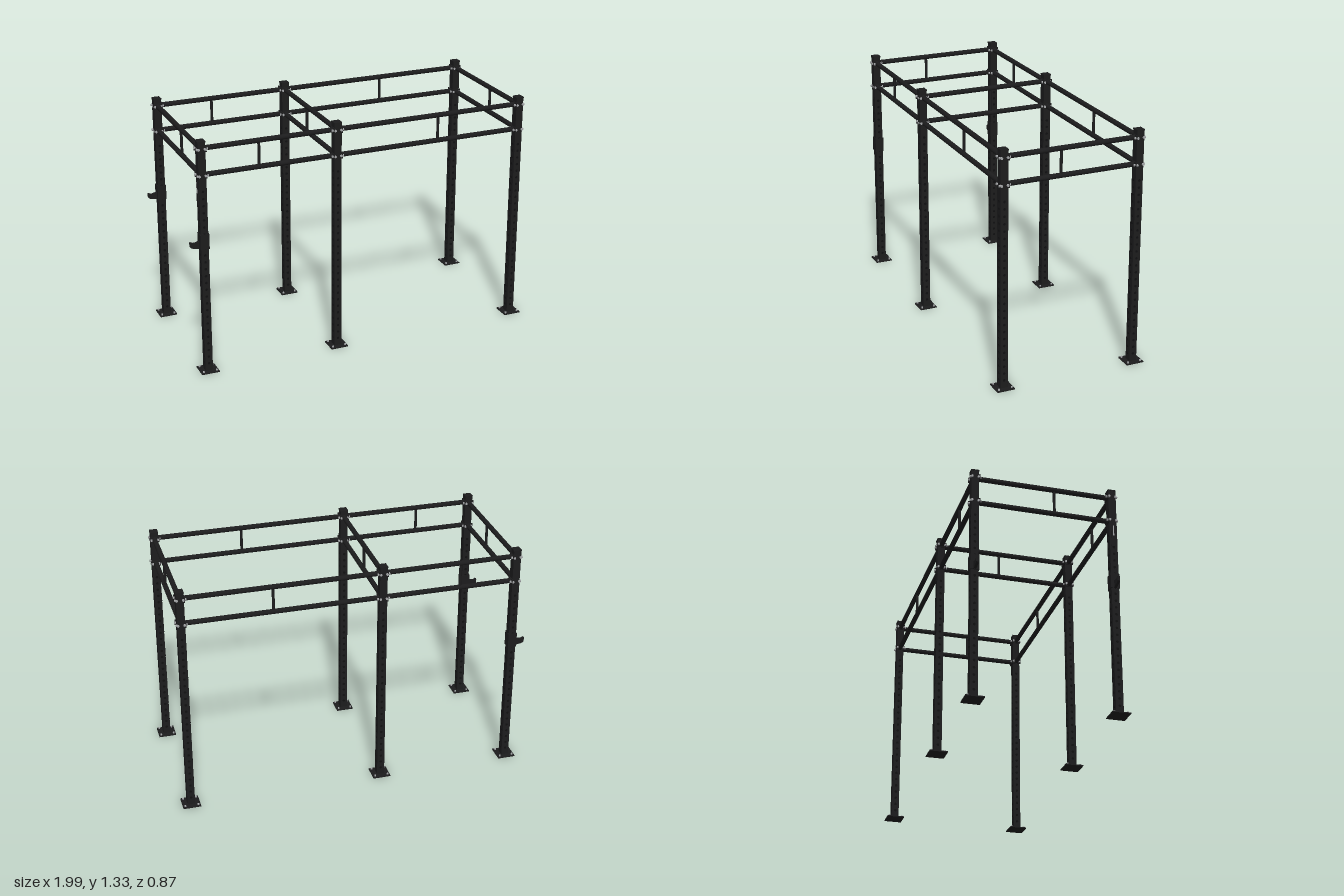
import * as THREE from 'three';
import { mergeGeometries } from 'three/addons/utils/BufferGeometryUtils.js';

const frameBlack = new THREE.MeshStandardMaterial({ color: 0x1c1c1d });
const holeBlack = new THREE.MeshStandardMaterial({ color: 0x101011 });
const boltSteel = new THREE.MeshStandardMaterial({ color: 0xa4a6a8 });

const POST_X = [-0.92, -0.158, 0.945];
const POST_Z = 0.383;
const HALF = 0.021;
const TOP = 1.326;
const BAR_Y = [1.137, 1.283];
const BAR_R = 0.0138;

export function createModel() {
  const model = new THREE.Group();
  const add = (parent, name, geo, mat, x = 0, y = 0, z = 0) => {
    const m = new THREE.Mesh(geo, mat);
    m.name = name;
    m.position.set(x, y, z);
    parent.add(m);
    return m;
  };
  // Cylinder lying along 'x', 'y' or 'z'
  const rod = (r, len, axis, x, y, z, sides = 8) => {
    const g = new THREE.CylinderGeometry(r, r, len, sides);
    if (axis === 'x') g.rotateZ(Math.PI / 2);
    if (axis === 'z') g.rotateX(Math.PI / 2);
    return g.translate(x, y, z);
  };
  const box = (w, h, d, x = 0, y = 0, z = 0) => new THREE.BoxGeometry(w, h, d).translate(x, y, z);

  // Uprights with base plates, anchor bolts, caps and rows of holes
  POST_X.forEach((px, i) => {
    for (const s of [1, -1]) {
      const post = new THREE.Group();
      post.name = 'upright';
      post.position.set(px, 0, s * POST_Z);
      model.add(post);
      add(post, 'post', box(2 * HALF, TOP - 0.006, 2 * HALF, 0, (TOP - 0.006) / 2), frameBlack);
      add(post, 'postCap', box(0.045, 0.007, 0.045, 0, TOP - 0.0025), frameBlack);
      add(post, 'basePlate', box(0.1, 0.006, 0.1, 0, 0.003), frameBlack);

      const anchors = [];
      for (const a of [-1, 1]) for (const b of [-1, 1])
        anchors.push(rod(0.0055, 0.008, 'y', a * 0.037, 0.01, b * 0.037, 6));
      add(post, 'anchorBolts', mergeGeometries(anchors), boltSteel);

      // Hole collars stand out on the inner faces and lie nearly flush elsewhere
      const innerX = i === 2 ? -1 : 1;
      const holes = [];
      for (let y = 0.05; y < 1.09; y += 0.04) {
        for (const d of [-1, 1]) {
          const ox = d === innerX ? 0.003 : 0.0006;
          const oz = d === -s ? 0.003 : 0.0006;
          holes.push(rod(0.0075, 0.006, 'x', d * (HALF + ox - 0.003), y, 0));
          holes.push(rod(0.0075, 0.006, 'z', 0, y, d * (HALF + oz - 0.003)));
        }
      }
      add(post, 'postHoles', mergeGeometries(holes), holeBlack);
    }
  });

  // Bolted end flange: dir points from the post towards the bar
  const endFlange = (parent, axis, px, y, pz, dir) => {
    const at = (along, across, fn) => axis === 'x'
      ? fn(px + dir * along, y, pz + across)
      : fn(px + across, y, pz + dir * along);
    const thick = 0.005;
    at(HALF + thick / 2, 0, (x, yy, z) => add(parent, 'endFlange',
      axis === 'x' ? box(thick, 0.03, 0.054) : box(0.054, 0.03, thick), frameBlack, x, yy, z));
    const bolts = [];
    for (const o of [-0.0175, 0.0175]) {
      at(HALF + 0.0085, o, (x, yy, z) => bolts.push(rod(0.007, 0.009, axis, x, yy, z, 6)));
      at(-HALF - 0.004, o, (x, yy, z) => bolts.push(rod(0.007, 0.009, axis, x, yy, z, 6)));
    }
    add(parent, 'flangeBolts', mergeGeometries(bolts), boltSteel);
  };

  // A ladder of two round bars with one short strut between them
  const barFrame = (name, axis, from, to, fixed, strutAt) => {
    const g = new THREE.Group();
    g.name = name;
    model.add(g);
    const len = to - from - 2 * HALF;
    const mid = (from + to) / 2;
    const pt = (t) => (axis === 'x' ? [t, fixed] : [fixed, t]);
    for (const y of BAR_Y) {
      const [x, z] = pt(mid);
      add(g, 'bar', rod(BAR_R, len, axis, 0, 0, 0, 20), frameBlack, x, y, z);
      for (const [end, dir] of [[from, 1], [to, -1]]) {
        const [ex, ez] = pt(end);
        endFlange(g, axis, ex, y, ez, dir);
      }
    }
    const [sx, sz] = pt(strutAt);
    add(g, 'strut', rod(0.0078, BAR_Y[1] - BAR_Y[0], 'y', 0, 0, 0, 14), frameBlack,
      sx, (BAR_Y[0] + BAR_Y[1]) / 2, sz);
  };
  for (const s of [1, -1]) {
    barFrame('longBay', 'x', POST_X[0], POST_X[1], s * POST_Z, -0.6);
    barFrame('longBay', 'x', POST_X[1], POST_X[2], s * POST_Z, 0.446);
  }
  [0.06, -0.035, 0.06].forEach((z, i) => barFrame('crossFrame', 'z', -POST_Z, POST_Z, POST_X[i], z));

  // Bar holders on the two end uprights
  const hookShape = new THREE.Shape();
  hookShape.moveTo(0, 0.768);
  hookShape.lineTo(-0.018, 0.764);
  hookShape.quadraticCurveTo(-0.034, 0.757, -0.049, 0.768);
  hookShape.lineTo(-0.054, 0.766);
  hookShape.lineTo(-0.052, 0.742);
  hookShape.quadraticCurveTo(-0.045, 0.733, -0.032, 0.732);
  hookShape.lineTo(0, 0.726);
  const hookGeo = new THREE.ExtrudeGeometry(hookShape, { depth: 0.014, bevelEnabled: false, curveSegments: 6 });
  hookGeo.translate(0, 0, -0.007);
  for (const s of [1, -1]) {
    const holder = new THREE.Group();
    holder.name = 'barHolder';
    holder.position.set(POST_X[0], 0, s * POST_Z);
    model.add(holder);
    add(holder, 'sleeve', box(0.05, 0.086, 0.05, 0, 0.768), frameBlack);
    add(holder, 'hook', hookGeo, frameBlack, -0.024);
  }

  // Slim badge strip below the brackets on the front end upright
  add(model, 'badgePlate', box(0.004, 0.13, 0.026), frameBlack, POST_X[0] - HALF - 0.002, 1.04, POST_Z);
  add(model, 'badgeStrip', box(0.002, 0.06, 0.006), boltSteel, POST_X[0] - HALF - 0.0045, 1.07, POST_Z);

  return model;
}
